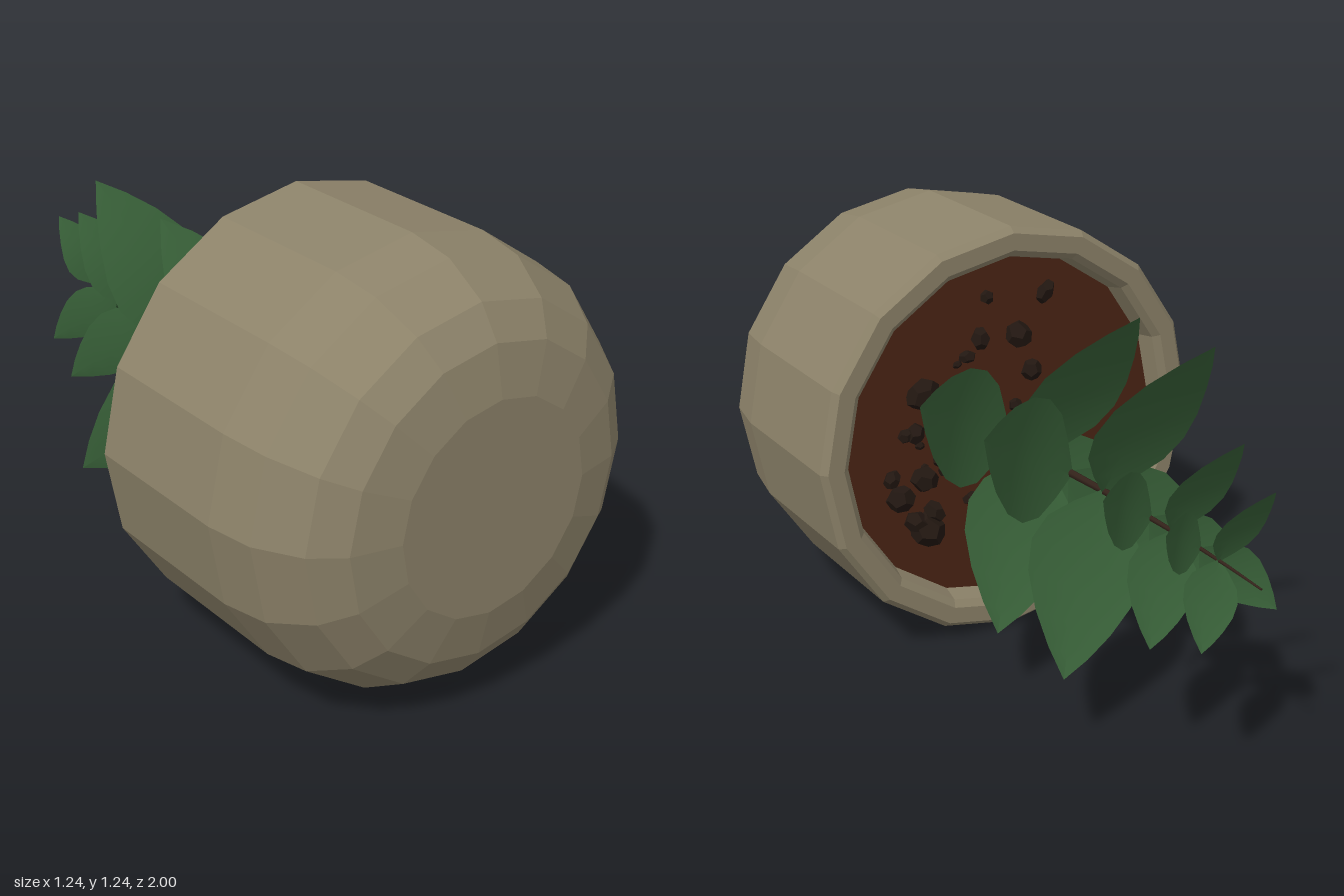
import * as THREE from 'three';

const paint = (color, extra = {}) => new THREE.MeshStandardMaterial({ color, ...extra });
const clay = paint(0x8c8269, { flatShading: true });
const earth = paint(0x4a2414, { flatShading: true });
const stone = paint(0x221711, { flatShading: true });
const bark = paint(0x33221a);
const green = paint(0x386038, { side: THREE.DoubleSide });

function part(name, geometry, material) {
  const mesh = new THREE.Mesh(geometry, material);
  mesh.name = name;
  return mesh;
}

// Small seeded generator for the pebbles
function seeded(seed) {
  return () => {
    seed = (seed * 16807) % 2147483647;
    return seed / 2147483647;
  };
}

// Sideways offset of the stem along its height
const stemOffset = (h) => -0.005 - 0.03 * Math.pow((0.65 - h) / 0.81, 2) * (h < 0.65 ? 1 : 2);

// Half width of a leaf along its length
const LEAF = [[0, 0.012], [0.1, 0.08], [0.22, 0.145], [0.36, 0.172], [0.52, 0.16], [0.7, 0.115], [0.86, 0.06], [1, 0]];

// Ovate, pointed leaf: bowed along the midrib and slightly folded across it
function leafGeometry(tip, widthAxis) {
  const normal = new THREE.Vector3().crossVectors(tip, widthAxis).normalize();
  if (normal.y < 0) normal.negate();
  const side = new THREE.Vector3().crossVectors(normal, tip).normalize();
  const pos = [], index = [];
  LEAF.forEach(([t, w], i) => {
    const bow = -0.04 * Math.sin(Math.PI * t);
    for (const s of [-1, 0, 1]) {
      const p = tip.clone().multiplyScalar(t)
        .addScaledVector(side, s * w)
        .addScaledVector(normal, bow + Math.abs(s) * w * 0.12);
      pos.push(p.x, p.y, p.z);
    }
    if (i === 0) return;
    for (let k = 0; k < 2; k++) {
      const a = (i - 1) * 3 + k, b = a + 1, c = a + 3, d = a + 4;
      index.push(a, c, b, b, c, d);
    }
  });
  const g = new THREE.BufferGeometry();
  g.setAttribute('position', new THREE.Float32BufferAttribute(pos, 3));
  g.setIndex(index);
  g.computeVertexNormals();
  return g;
}

function makePot() {
  const profile = [
    [0, -1], [0.30, -1], [0.438, -0.97], [0.525, -0.91], [0.598, -0.79], [0.622, -0.65],
    [0.622, -0.18], [0.605, -0.16], [0.555, -0.16], [0.535, -0.178], [0.515, -0.26],
  ].map(([r, h]) => new THREE.Vector2(r, h));
  return part('pot', new THREE.LatheGeometry(profile, 16), clay);
}

function makeSoil() {
  const soil = new THREE.Group();
  soil.name = 'soil';
  const level = -0.235;
  const bed = part('soilBed', new THREE.CircleGeometry(0.525, 16), earth);
  bed.rotation.x = -Math.PI / 2;
  bed.position.y = level;
  soil.add(bed);
  // Pebbles, denser and finer near the stem
  const rnd = seeded(77);
  for (let i = 0; i < 46; i++) {
    const angle = rnd() * Math.PI * 2;
    const radius = 0.05 + 0.38 * rnd();
    const size = (0.012 + 0.032 * rnd()) * (0.6 + radius);
    const pebble = part('pebble', new THREE.DodecahedronGeometry(size * 1.15, 0), stone);
    pebble.position.set(radius * Math.cos(angle), level + size * 0.3, radius * Math.sin(angle));
    pebble.rotation.set(rnd() * 6, rnd() * 6, rnd() * 6);
    pebble.scale.set(1, 0.7 + 0.4 * rnd(), 0.8 + 0.5 * rnd());
    soil.add(pebble);
  }
  return soil;
}

function makeStem() {
  const g = new THREE.CylinderGeometry(0.003, 0.016, 1.25, 6, 10);
  g.translate(0, 0.375, 0);
  const p = g.attributes.position;
  for (let i = 0; i < p.count; i++) p.setZ(i, p.getZ(i) + stemOffset(p.getY(i)));
  g.computeVertexNormals();
  return part('stem', g, bark);
}

function makeFoliage() {
  const foliage = new THREE.Group();
  foliage.name = 'foliage';
  const X = new THREE.Vector3(1, 0, 0), Z = new THREE.Vector3(0, 0, 1);
  // Two opposite pairs per tier: rise of the base, tip, width direction
  const kinds = [
    [0, new THREE.Vector3(0.43, 0.26, 0.28), Z],
    [0, new THREE.Vector3(-0.35, 0.26, -0.36), Z],
    [0.17, new THREE.Vector3(-0.17, 0.25, 0.46), X],
    [0.17, new THREE.Vector3(0.29, 0.25, -0.38), X],
  ].map(([rise, tip, axis]) => ({ rise, geometry: leafGeometry(tip, axis) }));
  // Height on the stem and size of each tier
  for (const [h, size] of [[-0.2, 1], [0.14, 1], [0.53, 0.6], [0.75, 0.46]]) {
    for (const { rise, geometry } of kinds) {
      const leaf = part('leaf', geometry, green);
      const y = h + rise * size;
      leaf.position.set(0, y, stemOffset(y));
      leaf.scale.setScalar(size);
      foliage.add(leaf);
    }
  }
  return foliage;
}

export function createModel() {
  // Built upright, then laid over so the plant points to the back
  const plant = new THREE.Group();
  plant.name = 'pottedPlant';
  plant.add(makePot(), makeSoil(), makeStem(), makeFoliage());
  plant.rotation.x = -Math.PI / 2;
  plant.position.y = 0.622;
  const model = new THREE.Group();
  model.name = 'model';
  model.add(plant);
  return model;
}
